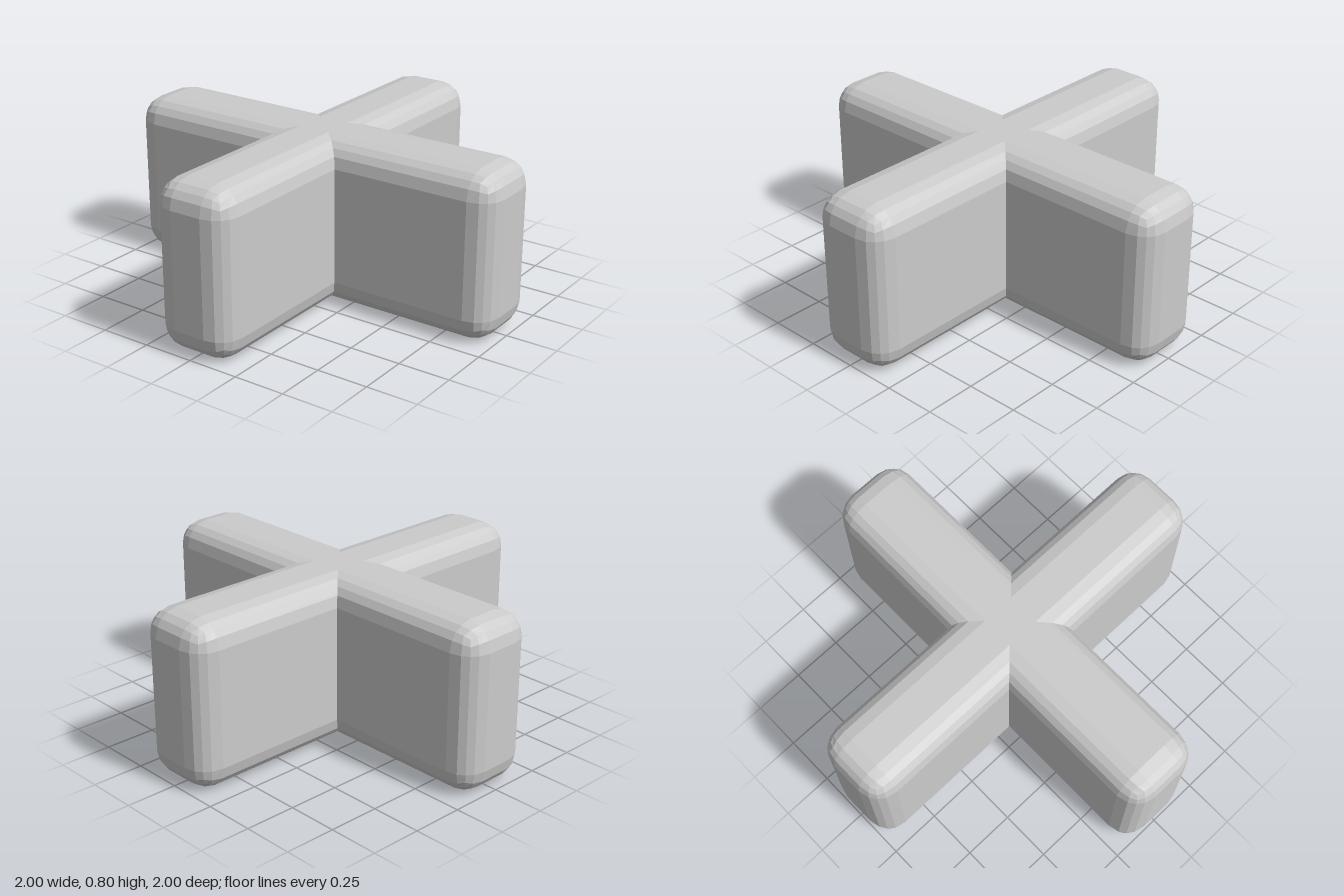
import * as THREE from 'three';
import { RoundedBoxGeometry } from 'three/addons/geometries/RoundedBoxGeometry.js';

const LENGTH = 2, HEIGHT = 0.8, THICKNESS = 0.4, RADIUS = 0.12;

export function createModel() {
  const group = new THREE.Group();
  group.name = 'cross';

  const material = new THREE.MeshStandardMaterial({ color: 0xcccccc, flatShading: true });

  // One rounded bar, used twice; two steps per half edge give four facets per rounded edge
  const barGeometry = new RoundedBoxGeometry(LENGTH, HEIGHT, THICKNESS, 2, RADIUS);
  barGeometry.computeVertexNormals();

  const addBar = (name, turn) => {
    const bar = new THREE.Mesh(barGeometry, material);
    bar.name = name;
    bar.position.y = HEIGHT / 2;
    bar.rotation.y = turn;
    group.add(bar);
  };

  // Two bars crossing at right angles
  addBar('sidewaysBar', 0);
  addBar('lengthwaysBar', Math.PI / 2);

  return group;
}
